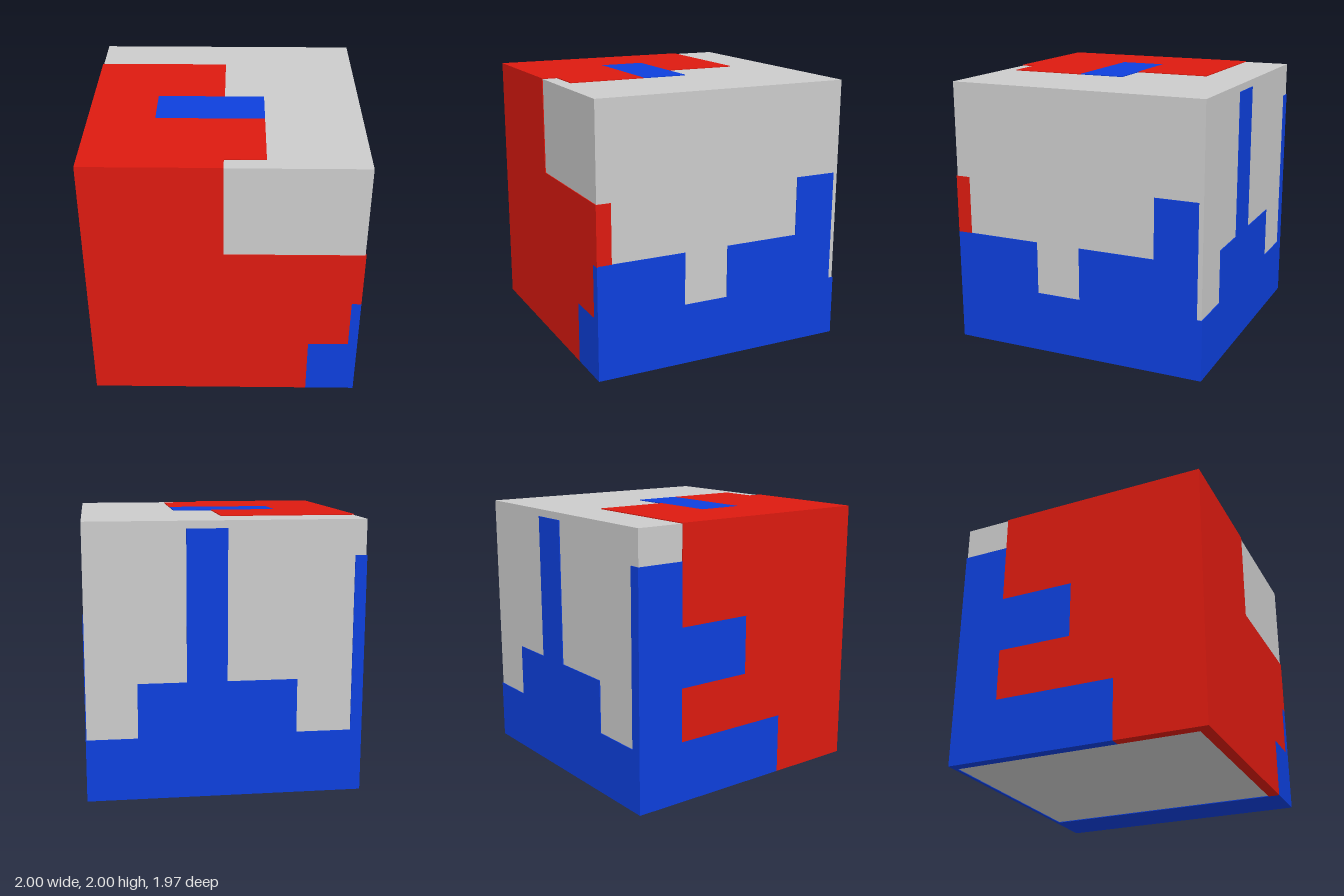
import * as THREE from 'three';

const DEPTH = 0.01;
const HALF_X = 1, HALF_Z = 0.985, HEIGHT = 2;

// Each face: rotation, sign of the outline's two coordinates, offset of the plate's inner side
const FACES = {
  front: { rot: [0, 0], sign: [1, 1], at: [0, 0, HALF_Z - DEPTH] },
  back: { rot: [0, Math.PI], sign: [-1, 1], at: [0, 0, DEPTH - HALF_Z] },
  right: { rot: [0, Math.PI / 2], sign: [-1, 1], at: [HALF_X - DEPTH, 0, 0] },
  left: { rot: [0, -Math.PI / 2], sign: [1, 1], at: [DEPTH - HALF_X, 0, 0] },
  top: { rot: [-Math.PI / 2, 0], sign: [1, -1], at: [0, HEIGHT - DEPTH, 0] },
  bottom: { rot: [Math.PI / 2, 0], sign: [1, 1], at: [0, DEPTH, 0] },
};

// Outline in model coordinates: (x, y) front/back, (z, y) sides, (x, z) top/bottom
function plate(face, outline, material, name) {
  const { rot, sign, at } = FACES[face];
  const points = outline.map(([u, v]) => new THREE.Vector2(u * sign[0], v * sign[1]));
  const geo = new THREE.ExtrudeGeometry(new THREE.Shape(points), { depth: DEPTH, bevelEnabled: false });
  geo.rotateX(rot[0]).rotateY(rot[1]).translate(...at);
  const mesh = new THREE.Mesh(geo, material);
  mesh.name = name;
  return mesh;
}

const rect = (u0, v0, u1, v1) => [[u0, v0], [u1, v0], [u1, v1], [u0, v1]];
const X = HALF_X, Z = HALF_Z;

const RED = [
  ['front', [[-X, 0], [0.63, 0], [0.63, 0.455], [0.93, 0.455], [0.93, 0.845], [X, 0.845],
    [X, 1.285], [-0.005, 1.285], [-0.005, 2], [-X, 2]]],
  ['right', rect(0.875, 0.85, Z, 1.285)],
  ['left', [[0.31, 0], [Z, 0], [Z, 2], [-0.62, 2], [-0.62, 1.285], [-0.04, 1.285],
    [-0.04, 0.85], [-0.62, 0.85], [-0.62, 0.455], [0.31, 0.455]]],
  ['top', [[-X, -0.62], [-0.01, -0.62], [-0.01, -0.055], [-0.51, -0.055], [-0.51, 0.295],
    [0.285, 0.295], [0.285, 0.87], [-0.005, 0.87], [-0.005, Z], [-X, Z]]],
  ['bottom', [[-X, 0.31], [-0.92, 0.31], [-0.92, 0.9], [0.63, 0.9], [0.63, Z], [-X, Z]]],
];

const BLUE = [
  ['front', [[0.63, 0], [X, 0], [X, 0.845], [0.93, 0.845], [0.93, 0.455], [0.63, 0.455]]],
  ['right', [[-Z, 0], [Z, 0], [Z, 0.85], [0.31, 0.85], [0.31, 0.455], [-0.035, 0.455],
    [-0.035, 0.85], [-0.62, 0.85], [-0.62, 1.295], [-0.945, 1.295], [-0.945, 0.455], [-Z, 0.455]]],
  ['back', [[-X, 0], [X, 0], [X, 0.455], [0.63, 0.455], [0.63, 0.855], [0.28, 0.855],
    [0.28, 1.94], [-0.01, 1.94], [-0.01, 0.855], [-0.515, 0.855], [-0.515, 0.46],
    [-0.915, 0.46], [-0.915, 1.74], [-X, 1.74]]],
  ['left', [[-Z, 0], [0.31, 0], [0.31, 0.455], [-0.62, 0.455], [-0.62, 0.85], [-0.04, 0.85],
    [-0.04, 1.285], [-0.62, 1.285], [-0.62, 1.74], [-Z, 1.74]]],
  ['top', rect(-0.51, -0.055, 0.285, 0.295)],
  ['bottom', [[-X, -Z], [X, -Z], [X, Z], [0.63, Z], [0.63, -0.96], [-0.92, -0.96],
    [-0.92, 0.31], [-X, 0.31]]],
];

function piece(name, color, plates) {
  const group = new THREE.Group();
  group.name = name;
  const material = new THREE.MeshStandardMaterial({ color });
  for (const [face, outline] of plates) group.add(plate(face, outline, material, `${name} ${face}`));
  return group;
}

export function createModel() {
  const model = new THREE.Group();
  model.name = 'interlocking cube puzzle';

  // Grey piece: the body, very slightly inside the coloured pieces
  const inset = 0.006;
  const core = new THREE.Mesh(
    new THREE.BoxGeometry(2 * (X - inset), HEIGHT - 2 * inset, 2 * (Z - inset)),
    new THREE.MeshStandardMaterial({ color: 0xcccccc }),
  );
  core.position.y = HEIGHT / 2;
  core.name = 'grey piece';
  model.add(core);

  // Coloured pieces that wrap the body
  model.add(piece('red piece', 0xdd1a10, RED));
  model.add(piece('blue piece', 0x0d3fdd, BLUE));
  return model;
}
